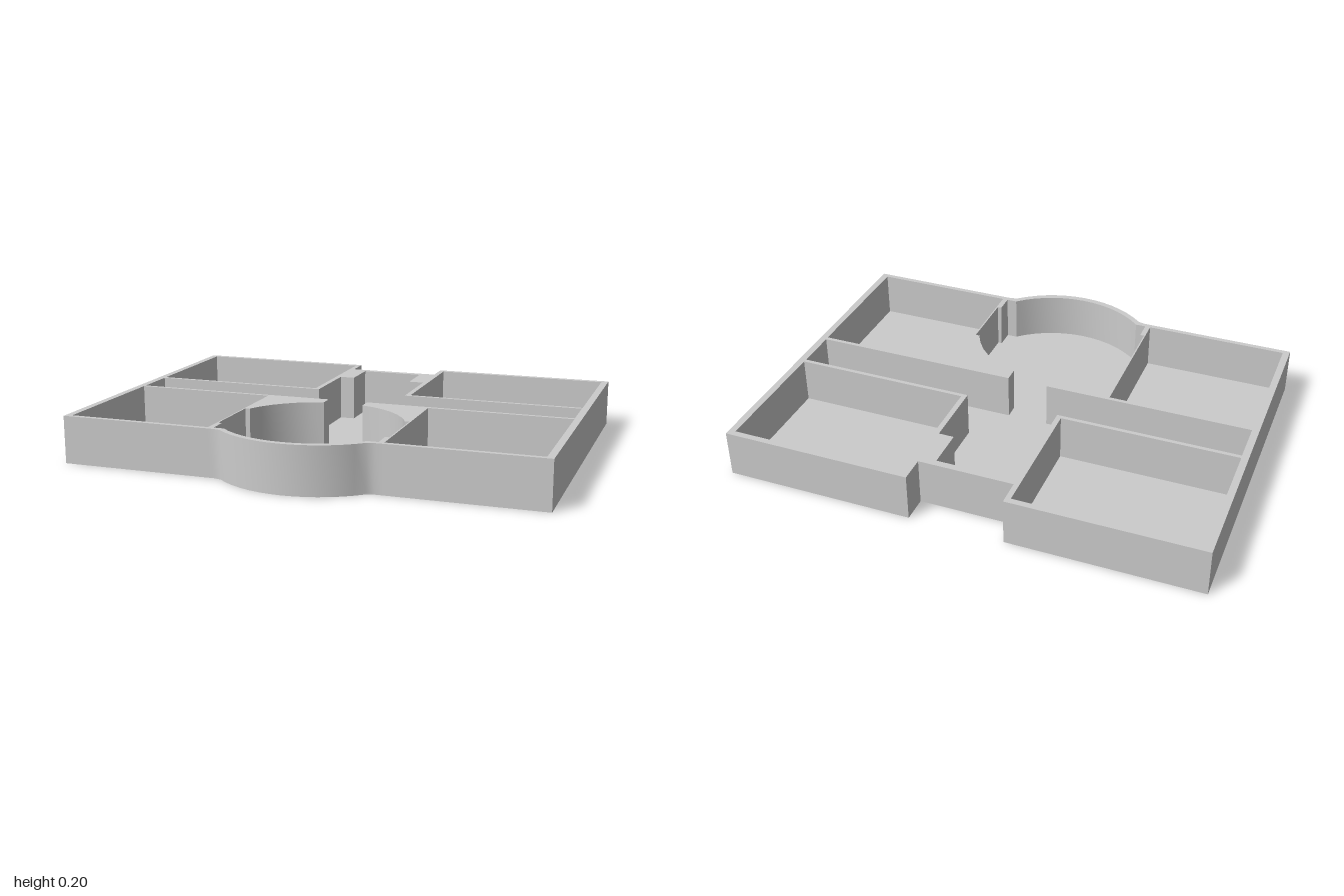
import * as THREE from 'three';
import { toCreasedNormals } from 'three/addons/utils/BufferGeometryUtils.js';

const HEIGHT = 0.2;
const FLOOR = 0.005;

// Points of an arc centred on (0, cz), running between two x positions.
// side = 1 bulges to the front (+z), side = -1 to the back.
function arc(cz, r, x0, x1, side, steps) {
  const a0 = Math.asin(x0 / r), a1 = Math.asin(x1 / r);
  return Array.from({ length: steps + 1 }, (_, i) => {
    const a = a0 + ((a1 - a0) * i) / steps;
    return [r * Math.sin(a), cz + side * r * Math.cos(a)];
  });
}

// Plan coordinates are [x, z]; the shape's y axis is -z.
const toVectors = (pts) => pts.map(([x, z]) => new THREE.Vector2(x, -z));
const mirrored = (pts) => pts.map(([x, z]) => [-x, z]).reverse();
const rect = (x0, z0, x1, z1) => [[x0, z0], [x1, z0], [x1, z1], [x0, z1]];

function extrude(shape, y, height) {
  const geo = new THREE.ExtrudeGeometry(shape, { depth: height, bevelEnabled: false });
  geo.rotateX(-Math.PI / 2);
  geo.translate(0, y, 0);
  return toCreasedNormals(geo, Math.PI / 6);
}

export function createModel() {
  const group = new THREE.Group();
  group.name = 'floorPlan';
  const material = new THREE.MeshStandardMaterial({ color: 0xcccccc });

  // Outer footprint: back notch and curved front bay with softened corners
  const rightEdge = [
    [0.2, -0.663], [0.2, -0.773], [1, -0.773], [1, 0.648], [0.36, 0.648], [0.33, 0.648],
  ];
  // Counter-clockwise outline, so that the holes are wound to face inwards
  const footprint = toVectors([
    ...rightEdge,
    ...arc(0.331, 0.442, 0.3, -0.3, 1, 14),
    ...mirrored(rightEdge),
  ]).reverse();

  // Hall, corridor and round room form one connected opening
  const hallSide = [
    [0.135, -0.634], [0.135, -0.467], [0.2, -0.467], [0.2, -0.175],
    [0.97, -0.175], [0.97, 0.006], [0.087, 0.006],
  ];
  const roundSide = [
    ...arc(0.424, 0.367, 0.087, 0.336, -1, 6),
    [0.336, 0.282], [0.356, 0.282], [0.356, 0.547], [0.339, 0.547], [0.339, 0.627],
  ];
  const halfOpening = [...hallSide, ...roundSide];
  const opening = [
    ...halfOpening,
    ...arc(0.324, 0.423, 0.295, -0.295, 1, 14),
    ...mirrored(halfOpening),
  ];

  // Four corner rooms
  const holes = [opening];
  const rooms = [rect(0.222, -0.747, 0.971, -0.192), rect(0.362, 0.023, 0.971, 0.627)];
  for (const room of rooms) holes.push(room, mirrored(room));

  // Walls
  const wallShape = new THREE.Shape(footprint);
  for (const hole of holes) wallShape.holes.push(new THREE.Path(toVectors(hole)));
  const walls = new THREE.Mesh(extrude(wallShape, FLOOR, HEIGHT - FLOOR), material);
  walls.name = 'walls';

  // Thin floor slab
  const floor = new THREE.Mesh(extrude(new THREE.Shape(footprint), 0, FLOOR), material);
  floor.name = 'floor';

  group.add(walls, floor);
  return group;
}
